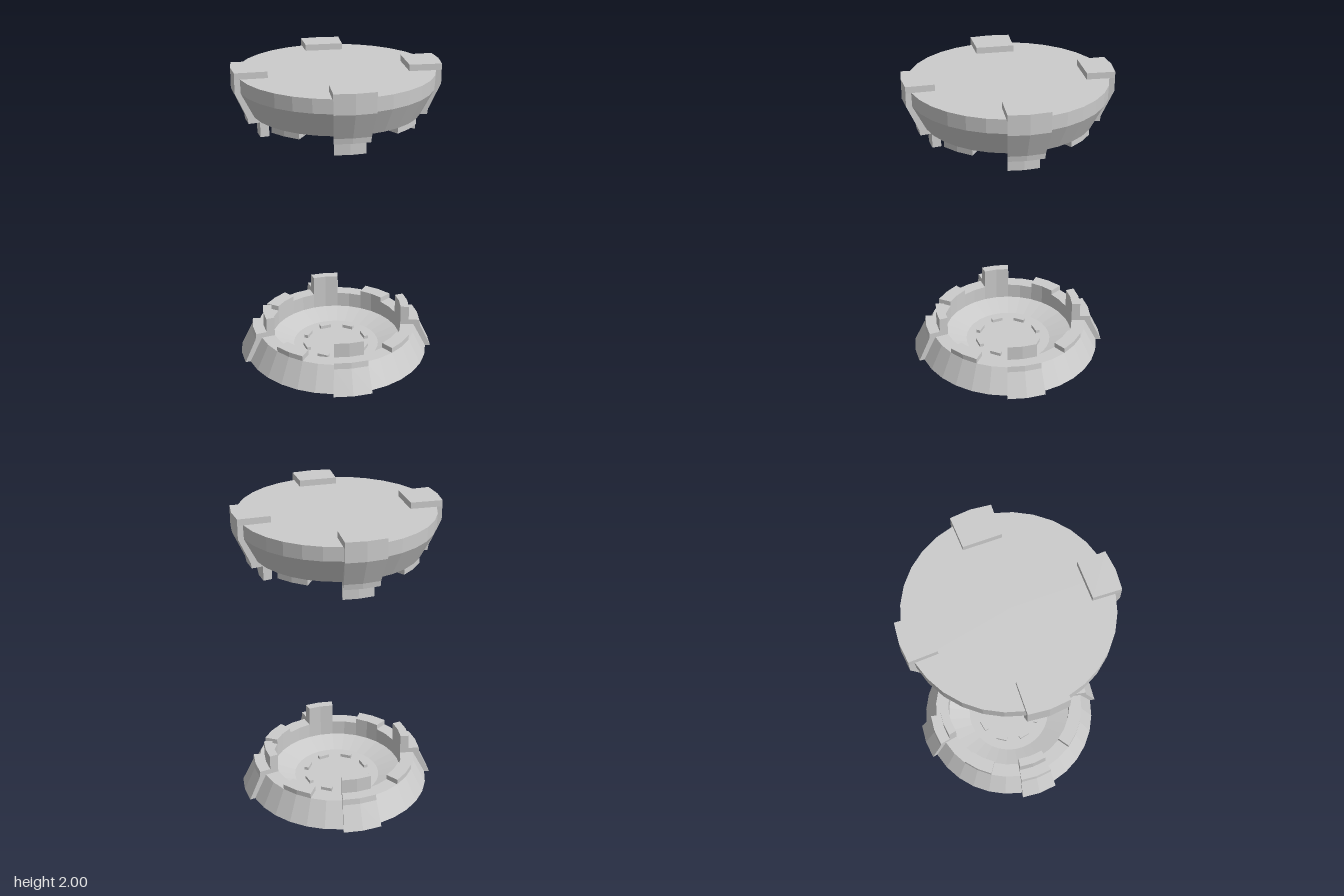
import * as THREE from 'three';
import { mergeGeometries } from 'three/addons/utils/BufferGeometryUtils.js';

const SIDES = 32;
const STEP = (Math.PI * 2) / SIDES;
const material = new THREE.MeshStandardMaterial({ color: 0xcccccc, flatShading: true });

function mesh(name, geometry) {
  const m = new THREE.Mesh(geometry, material);
  m.name = name;
  return m;
}

const toVectors = (pts) => pts.map(([r, y]) => new THREE.Vector2(r, y));

// Full 32-sided revolved body, open only on the axis
const revolve = (pts) => new THREE.LatheGeometry(toVectors(pts), SIDES);

// Solid sector: counter-clockwise (radius, height) profile swept two facets wide
function sector(pts, centre) {
  const start = centre - STEP;
  const end = centre + STEP;
  const outline = toVectors(pts);
  const sweep = new THREE.LatheGeometry([...outline, outline[0].clone()], 2, start, 2 * STEP);
  const startCap = new THREE.ShapeGeometry(new THREE.Shape(outline)).rotateY(start - Math.PI / 2);
  const endCap = new THREE.ShapeGeometry(new THREE.Shape(outline)).rotateY(end - Math.PI / 2);
  endCap.index.array.reverse();
  return mergeGeometries([sweep, startCap, endCap]);
}

const ringSector = (r0, r1, y0, y1, centre) =>
  sector([[r0, y0], [r1, y0], [r1, y1], [r0, y1]], centre);

// Square-cut clamp pad on the top face, with a faceted outer edge
function topPad(inner, centre) {
  const rx = 0.65 * Math.sin(STEP);
  const rz = 0.65 * Math.cos(STEP);
  const shape = new THREE.Shape(toVectors([
    [-0.12, -inner], [-rx, -rz], [0, -0.65], [rx, -rz], [0.12, -inner],
  ]));
  return new THREE.ExtrudeGeometry(shape, { depth: 0.04, bevelEnabled: false })
    .rotateX(-Math.PI / 2).translate(0, 1.96, 0).rotateY(centre);
}

// One cap: body, four clamp ribs with hooks, four rim tabs, eight floor studs
function buildCap(name, c) {
  const cap = new THREE.Group();
  cap.name = name;
  cap.add(mesh('body', revolve(c.body)));
  for (let i = 0; i < 4; i++) {
    const a = (i * Math.PI) / 2;
    cap.add(mesh('clampRib', sector(c.rib, a)));
    cap.add(mesh('clampHook', ringSector(0.44, 0.497, ...c.hook, a)));
    cap.add(mesh('rimTab', ringSector(0.44, 0.53, ...c.tab, a + Math.PI / 4)));
    if (c.pads) cap.add(mesh('clampPad', topPad(i % 2 ? 0.435 : 0.462, a)));
  }
  for (let i = 0; i < 8; i++) {
    const stud = new THREE.BoxGeometry(0.075, 0.025, 0.028)
      .translate(0, c.studY, 0.21).rotateY((i * Math.PI) / 4 + c.studTurn);
    cap.add(mesh('floorStud', stud));
  }
  return cap;
}

export function createModel() {
  const model = new THREE.Group();
  model.name = 'capPair';

  model.add(buildCap('lowerCap', {
    body: [[0, 0], [0.615, 0], [0.53, 0.165], [0.44, 0.165], [0.44, 0.06], [0.29, 0.02], [0, 0.02]],
    rib: [[0.58, 0], [0.65, 0], [0.575, 0.16], [0.57, 0.2], [0.44, 0.2], [0.44, 0.16], [0.51, 0.15]],
    hook: [0.2, 0.3],
    tab: [0.165, 0.2],
    studY: 0.03,
    studTurn: STEP,
  }));

  model.add(buildCap('upperCap', {
    body: [[0, 1.86], [0.29, 1.86], [0.44, 1.765], [0.44, 1.71], [0.53, 1.71],
      [0.612, 1.87], [0.615, 1.96], [0, 1.96]],
    rib: [[0.44, 1.715], [0.44, 1.675], [0.57, 1.675], [0.575, 1.71], [0.65, 1.875],
      [0.65, 1.96], [0.59, 1.96], [0.59, 1.87], [0.51, 1.72]],
    hook: [1.58, 1.675],
    tab: [1.675, 1.71],
    studY: 1.85,
    studTurn: 0,
    pads: true,
  }));
  return model;
}
